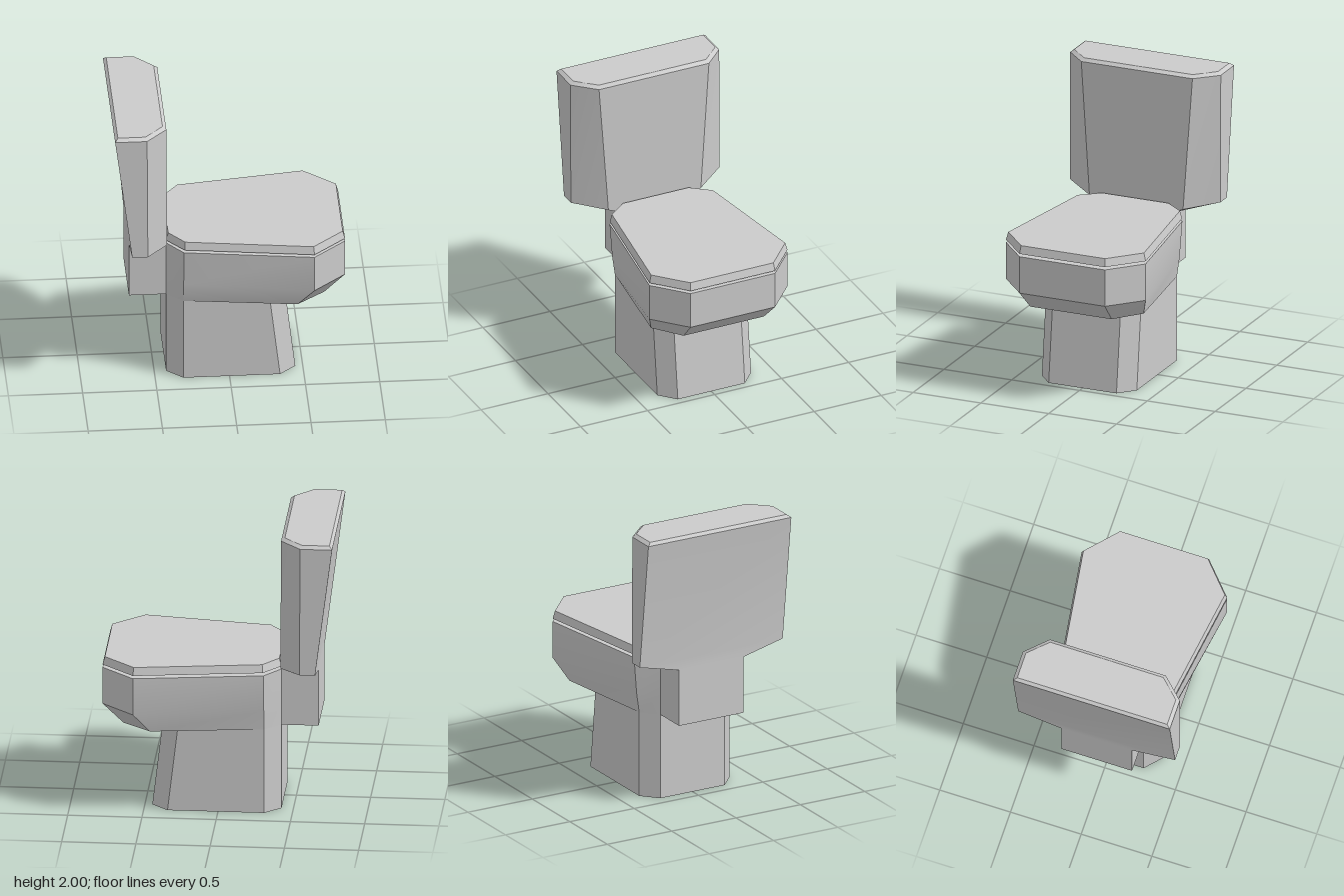
import * as THREE from 'three';
import { toCreasedNormals } from 'three/addons/utils/BufferGeometryUtils.js';

const material = new THREE.MeshStandardMaterial({ color: 0xcccccc });

// Half outline [x, z, y?] running back to front on the +z side, mirrored to a closed ring at height y.
function ring(y, half) {
  const left = half.map(([x, z, py = y]) => [x, py, z]);
  const right = left.map(([x, py, z]) => [x, py, -z]).reverse();
  return [...left, ...right];
}

// Closed solid through rings listed bottom to top, flat caps at both ends.
function loft(name, rings) {
  const pos = [];
  const tri = (a, b, c) => pos.push(...a, ...b, ...c);
  const n = rings[0].length;
  for (let r = 0; r < rings.length - 1; r++) {
    const lo = rings[r], hi = rings[r + 1];
    for (let i = 0; i < n; i++) {
      const j = (i + 1) % n;
      tri(lo[i], lo[j], hi[j]);
      tri(lo[i], hi[j], hi[i]);
    }
  }
  const bottom = rings[0], top = rings[rings.length - 1];
  for (let i = 1; i < n - 1; i++) {
    tri(top[0], top[i], top[i + 1]);
    tri(bottom[0], bottom[i + 1], bottom[i]);
  }
  const geometry = new THREE.BufferGeometry();
  geometry.setAttribute('position', new THREE.Float32BufferAttribute(pos, 3));
  const mesh = new THREE.Mesh(toCreasedNormals(geometry, THREE.MathUtils.degToRad(30)), material);
  mesh.name = name;
  return mesh;
}

export function createModel() {
  const group = new THREE.Group();
  group.name = 'toilet';

  // Foot, with the front leaning back towards the top
  group.add(loft('pedestal', [
    ring(0, [[-0.42, 0.25], [-0.31, 0.35], [0.34, 0.35], [0.45, 0.25]]),
    ring(0.6, [[-0.42, 0.25], [-0.31, 0.35], [0.27, 0.35], [0.38, 0.25]]),
  ]));

  // Bowl, widening to the front and undercut below
  group.add(loft('bowl', [
    ring(0.6, [[-0.42, 0.25], [-0.31, 0.35], [0.45, 0.45], [0.64, 0.3]]),
    ring(0.74, [[-0.42, 0.25], [-0.31, 0.37], [0.56, 0.515], [0.78, 0.315]]),
    ring(1, [[-0.42, 0.25], [-0.31, 0.39], [0.56, 0.515], [0.78, 0.315]]),
  ]));

  // Lid, floating just above the bowl with a bevelled rim
  group.add(loft('lid', [
    ring(1.02, [[-0.42, 0.25], [-0.305, 0.39], [0.56, 0.515], [0.78, 0.315]]),
    ring(1.075, [[-0.405, 0.245], [-0.3, 0.377], [0.555, 0.5], [0.765, 0.31]]),
  ]));

  // Block joining bowl and tank
  const neck = new THREE.Mesh(new THREE.BoxGeometry(0.25, 0.4, 0.5), material);
  neck.name = 'neck';
  neck.position.set(-0.545, 0.8, 0);
  group.add(neck);

  // Tank, with a sloping underside, leaning back and bevelled top
  group.add(loft('tank', [
    ring(1, [[-0.67, 0.25], [-0.545, 0.25], [-0.42, 0.25]]),
    ring(1.075, [[-0.67, 0.555], [-0.565, 0.555], [-0.42, 0.345, 1.04]]),
    ring(1.98, [[-0.785, 0.555], [-0.57, 0.555], [-0.43, 0.41]]),
    ring(2, [[-0.765, 0.53], [-0.58, 0.53], [-0.455, 0.4]]),
  ]));

  return group;
}
